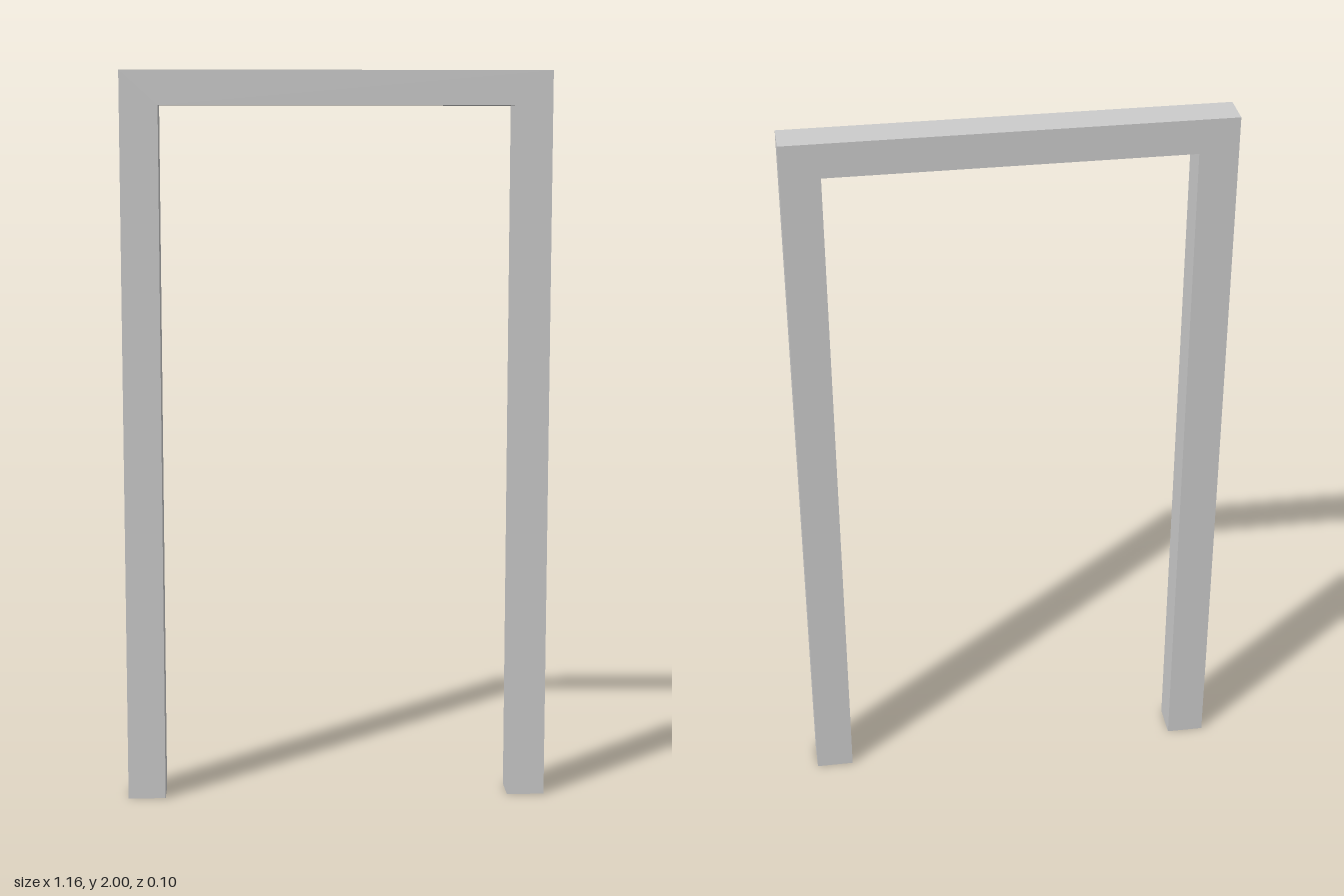
import * as THREE from 'three';

const HALF_WIDTH = 0.58, HALF_OPENING = 0.477, HEIGHT = 2, OPENING_HEIGHT = 1.907, DEPTH = 0.096;

export function createModel() {
  const group = new THREE.Group();
  group.name = 'doorway';

  // Door frame: two jambs and a lintel as one U-shaped outline
  const outline = new THREE.Shape([
    [-HALF_WIDTH, 0], [-HALF_OPENING, 0],
    [-HALF_OPENING, OPENING_HEIGHT], [HALF_OPENING, OPENING_HEIGHT],
    [HALF_OPENING, 0], [HALF_WIDTH, 0],
    [HALF_WIDTH, HEIGHT], [-HALF_WIDTH, HEIGHT],
  ].map(([x, y]) => new THREE.Vector2(x, y)));
  const geometry = new THREE.ExtrudeGeometry(outline, { depth: DEPTH, bevelEnabled: false });
  geometry.translate(0, 0, -DEPTH / 2);

  const frame = new THREE.Mesh(geometry, new THREE.MeshStandardMaterial({ color: 0xcccccc }));
  frame.name = 'doorFrame';
  group.add(frame);
  return group;
}
